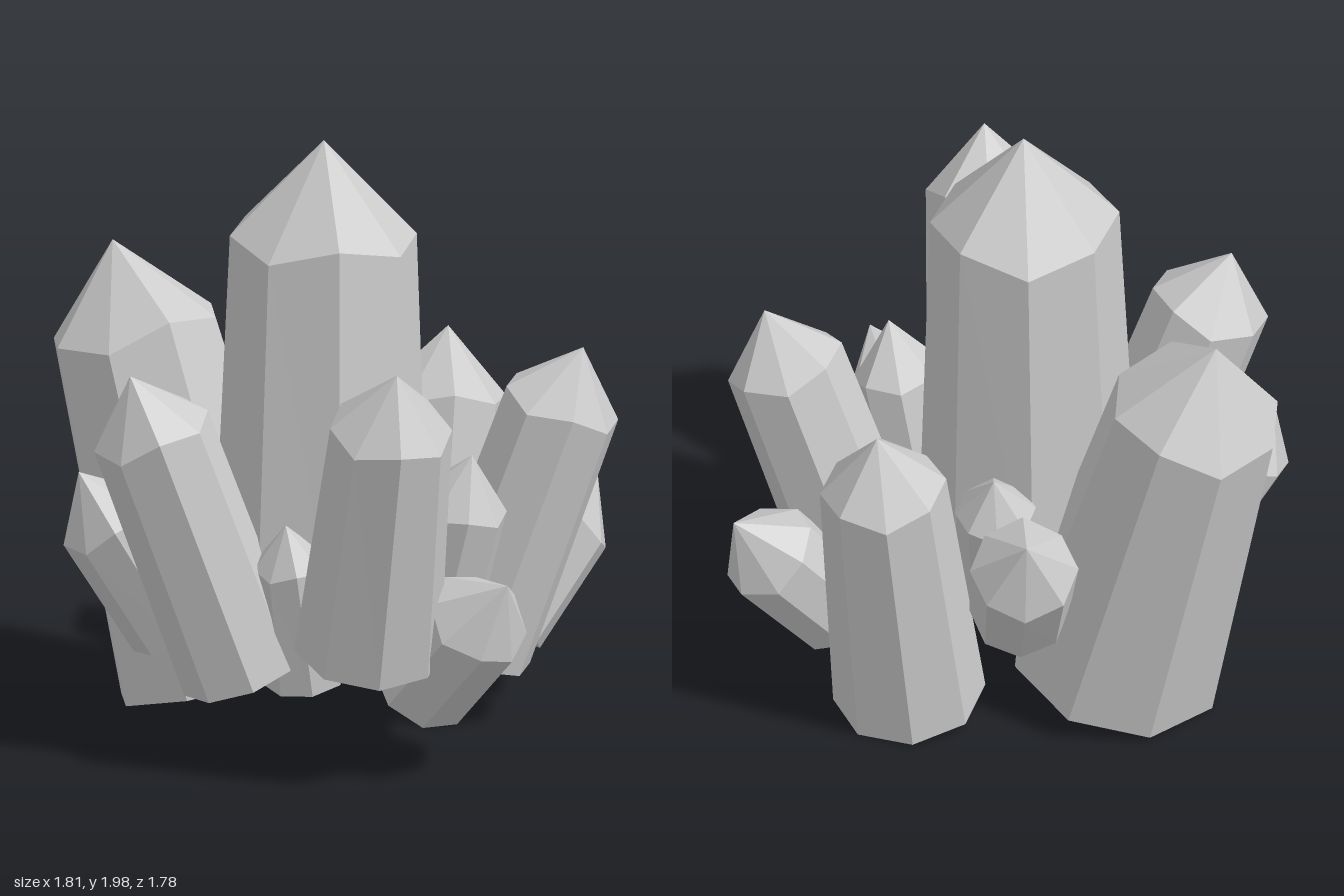
import * as THREE from 'three';

const material = new THREE.MeshStandardMaterial({ color: 0xcccccc, flatShading: true });
const SIDES = 8;

// A tapered prism along the line from base to tip, closed by a pyramid.
// taper = bottom radius / shoulder radius, cap = pyramid height / shoulder radius
function crystal(name, base, tip, radius, taper, cap, turn = 0) {
  const start = new THREE.Vector3(...base);
  const axis = new THREE.Vector3(...tip).sub(start);
  const length = axis.length();
  const profile = [
    new THREE.Vector2(0, 0),
    new THREE.Vector2(radius * taper, 0),
    new THREE.Vector2(radius, length - radius * cap),
    new THREE.Vector2(0, length),
  ];
  const lathe = new THREE.LatheGeometry(profile, SIDES, turn);

  // Slightly uneven shoulder heights
  const p = lathe.attributes.position;
  for (let i = 2; i < p.count; i += profile.length) {
    const side = Math.floor(i / profile.length) % SIDES;
    p.setY(i, p.getY(i) + radius * 0.1 * Math.sin(side * 2.3 + 1.5));
  }

  const geometry = lathe.toNonIndexed();
  geometry.computeVertexNormals();
  const mesh = new THREE.Mesh(geometry, material);
  mesh.name = name;
  mesh.position.copy(start);
  mesh.quaternion.setFromUnitVectors(new THREE.Vector3(0, 1, 0), axis.normalize());
  return mesh;
}

// name, base, tip, shoulder radius, taper, turn
const tallCrystals = [
  ['mainCrystal', [-0.08, 0.38, -0.03], [-0.06, 2, -0.08], 0.305, 1.17],
  ['backRightLargeCrystal', [-0.35, 0.12, -0.33], [-0.66, 1.525, -0.6], 0.28, 1.26, 0.3],
  ['frontCrystal', [-0.01, 0.45, 0.46], [0.035, 1.47, 0.75], 0.2, 1.2],
  ['frontRightTallCrystal', [-0.37, 0.3, 0.18], [-0.74, 1.33, 0.2], 0.195, 1.04],
  ['leftTallCrystal', [0.42, 0.25, -0.09], [0.77, 1.28, 0.01], 0.195, 1.05],
  ['backLeftTallCrystal', [0.32, 0.06, -0.41], [0.43, 1.18, -0.575], 0.205, 1.2],
];

// name, base, tip, shoulder radius, taper
const shortCrystals = [
  ['frontLeftSmallCrystal', [0.25, 0.42, 0.17], [0.36, 1.03, 0.29], 0.155, 0.95],
  ['frontLeftLowCrystal', [0.19, 0.28, 0.33], [0.405, 0.72, 0.7], 0.175, 1],
  ['leftLowCrystal', [0.54, 0.28, -0.24], [0.885, 0.735, -0.4], 0.168, 0.95],
  ['rightLowCrystal', [-0.55, 0.38, -0.07], [-0.865, 0.93, -0.05], 0.165, 0.92],
  ['backLowCrystal', [-0.03, 0.46, -0.53], [-0.04, 0.95, -0.88], 0.175, 0.92],
  ['backTinyCrystal', [0.02, 0.35, -0.27], [0.05, 0.91, -0.45], 0.13, 1],
  ['frontRightTinyCrystal', [-0.17, 0.28, 0.2], [-0.25, 0.83, 0.3], 0.12, 1.15],
];

export function createModel() {
  const group = new THREE.Group();
  group.name = 'crystalCluster';
  for (const [name, base, tip, radius, taper, turn] of tallCrystals) {
    group.add(crystal(name, base, tip, radius, taper, 1.05, turn));
  }
  for (const [name, base, tip, radius, taper] of shortCrystals) {
    group.add(crystal(name, base, tip, radius, taper, 1.2));
  }
  return group;
}
